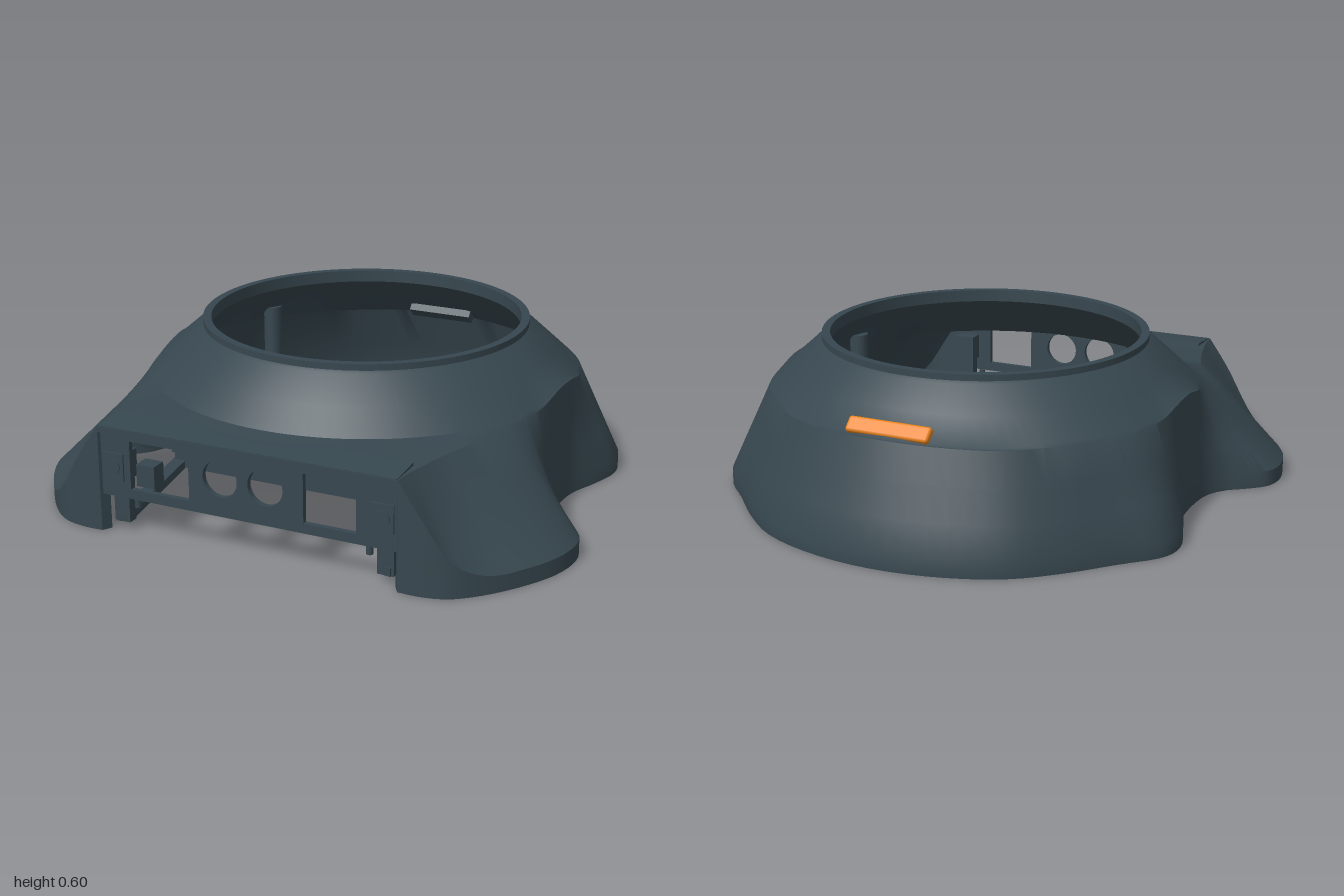
import * as THREE from 'three';
import { toCreasedNormals } from 'three/addons/utils/BufferGeometryUtils.js';
import { RoundedBoxGeometry } from 'three/addons/geometries/RoundedBoxGeometry.js';

const slate = new THREE.MeshStandardMaterial({ color: 0x37474f });
slate.name = 'slate plastic';
const orange = new THREE.MeshStandardMaterial({ color: 0xf58a1f });
orange.name = 'orange light';

const RING_Z = -0.02; // centre of the round opening

// One side of the base outline, front to back: x, lip height, z
const baseLine = [
  [0.56, 0.385, 0.93], [0.64, 0.27, 0.93], [0.74, 0.12, 0.9], [0.83, 0.065, 0.82], [0.92, 0.06, 0.7],
  [0.98, 0.06, 0.58], [1, 0.06, 0.46], [0.98, 0.06, 0.38], [0.92, 0.06, 0.32], [0.85, 0.06, 0.265],
  [0.805, 0.06, 0.19], [0.79, 0.06, 0.05], [0.8, 0.06, -0.08], [0.845, 0.06, -0.2], [0.88, 0.06, -0.33],
  [0.86, 0.06, -0.43], [0.74, 0.055, -0.56], [0.6, 0.05, -0.71], [0.45, 0.05, -0.83], [0.24, 0.05, -0.91],
  [0, 0.05, -0.94],
];
// Matching points of the shoulder line
const shoulderLine = [
  [0.56, 0.385, 0.925], [0.565, 0.385, 0.86], [0.58, 0.385, 0.79], [0.6, 0.385, 0.7], [0.63, 0.385, 0.6],
  [0.66, 0.385, 0.5], [0.69, 0.385, 0.41], [0.71, 0.39, 0.36], [0.735, 0.395, 0.29], [0.75, 0.4, 0.23],
  [0.765, 0.41, 0.16], [0.775, 0.435, 0.03], [0.775, 0.43, -0.1], [0.765, 0.41, -0.2], [0.735, 0.4, -0.32],
  [0.7, 0.4, -0.4], [0.64, 0.4, -0.49], [0.52, 0.4, -0.62], [0.39, 0.4, -0.72], [0.21, 0.405, -0.79],
  [0, 0.41, -0.82],
];

// Full curve from the left front corner round the back to the right one
function mirroredCurve(half) {
  const left = half.map((p) => new THREE.Vector3(...p));
  const right = left.slice(0, -1).reverse().map((p) => new THREE.Vector3(-p.x, p.y, p.z));
  return new THREE.CatmullRomCurve3([...left, ...right]);
}

// Closed wall section: up the outside, over the rim, down the inside
function wallSection(base, lip, shoulder) {
  const dx = shoulder.x, dz = shoulder.z - RING_Z;
  const reach = Math.hypot(dx, dz);
  const round = (r, y) => new THREE.Vector3(dx / reach * r, y, RING_Z + dz / reach * r);
  const inside = (p, drop) => new THREE.Vector3(p.x * 0.965, p.y - drop, p.z * 0.965);
  const kneeR = Math.min(0.79, reach - 0.01);
  const kneeY = Math.max(shoulder.y + 0.003, 0.57 - 0.92 * (kneeR - 0.61));
  const mid = (t) => lip.clone().lerp(shoulder, t);
  return [
    base, lip, mid(0.33), mid(0.66), shoulder,
    round(kneeR, kneeY), round((kneeR + 0.61) / 2, (kneeY + 0.57) / 2),
    round(0.61, 0.57), round(0.6, 0.577), round(0.6, 0.6),
    round(0.57, 0.6), round(0.57, 0.555), round(kneeR - 0.025, kneeY - 0.025),
    inside(shoulder, 0.025), inside(mid(0.5), 0.01), inside(lip, 0.01), inside(base, 0),
  ];
}

function shellGeometry() {
  const baseCurve = mirroredCurve(baseLine), shoulderCurve = mirroredCurve(shoulderLine);
  const sections = [];
  const N = 140;
  for (let i = 0; i <= N; i++) {
    const lip = baseCurve.getPoint(i / N);
    sections.push(wallSection(new THREE.Vector3(lip.x, 0, lip.z), lip, shoulderCurve.getPoint(i / N)));
  }
  // shallow edge above the front opening
  for (let i = 0; i <= 24; i++) {
    const x = -0.56 + 1.12 * i / 24;
    const at = (y, z) => new THREE.Vector3(x, y, z);
    sections.push(wallSection(at(0.365, 0.93), at(0.385, 0.93), at(0.385, 0.925)));
  }
  const rows = sections.length, cols = sections[0].length;
  const index = [];
  for (let i = 0; i < rows; i++) {
    for (let j = 0; j < cols; j++) {
      const i2 = (i + 1) % rows, j2 = (j + 1) % cols;
      const a = i * cols + j, b = i2 * cols + j, c = i2 * cols + j2, d = i * cols + j2;
      index.push(a, b, d, b, c, d);
    }
  }
  const g = new THREE.BufferGeometry().setFromPoints(sections.flat());
  g.setIndex(index);
  return toCreasedNormals(g, 0.5);
}

export function createModel() {
  const model = new THREE.Group();
  const add = (name, geometry, x = 0, y = 0, z = 0, material = slate) => {
    const mesh = new THREE.Mesh(geometry, material);
    mesh.name = name;
    mesh.position.set(x, y, z);
    model.add(mesh);
    return mesh;
  };
  const box = (name, w, h, d, x, y, z) => add(name, new THREE.BoxGeometry(w, h, d), x, y, z);

  add('shell', shellGeometry());

  // cover strip over the front panel
  box('frontCover', 1.11, 0.012, 0.13, 0, 0.387, 0.862).rotation.x = 0.08;

  // front panel with connector openings
  const rect = (P, x0, y0, x1, y1) => {
    const p = new P();
    p.moveTo(x0, y0).lineTo(x1, y0).lineTo(x1, y1).lineTo(x0, y1).closePath();
    return p;
  };
  const face = rect(THREE.Shape, -0.56, 0.135, 0.56, 0.38);
  face.holes.push(rect(THREE.Path, -0.44, 0.17, -0.21, 0.345), rect(THREE.Path, 0.22, 0.17, 0.41, 0.345));
  for (const x of [-0.09, 0.08]) {
    face.holes.push(new THREE.Path().absarc(x, 0.27, 0.065, 0, Math.PI * 2));
  }
  add('frontPanel', new THREE.ExtrudeGeometry(face, { depth: 0.02, bevelEnabled: false, curveSegments: 24 }), 0, 0, 0.9);
  box('connector', 0.07, 0.08, 0.06, -0.39, 0.22, 0.875);

  // lower support ring, cut off by the cross bar
  const R = 0.66, r = 0.62, barZ = 0.37;
  const a = Math.asin((barZ - RING_Z) / R), b = Math.asin((barZ - RING_Z) / r);
  const hoop = new THREE.Shape();
  hoop.absarc(0, 0, R, -a, Math.PI + a, false);
  hoop.absarc(0, 0, r, Math.PI + b, -b, true);
  hoop.closePath();
  add('supportRing', new THREE.ExtrudeGeometry(hoop, { depth: 0.03, bevelEnabled: false, curveSegments: 48 }),
    0, 0.03, RING_Z).rotation.x = -Math.PI / 2;
  box('crossBar', 1.2, 0.1, 0.025, 0, 0.083, barZ);

  for (const s of [1, -1]) {
    // panel screws
    box('screwPlate', 0.08, 0.1, 0.008, s * 0.505, 0.245, 0.922);
    add('screw', new THREE.CylinderGeometry(0.027, 0.027, 0.01, 20), s * 0.505, 0.245, 0.926).rotation.x = Math.PI / 2;
    box('panelBracket', 0.08, 0.1, 0.06, s * 0.505, 0.24, 0.87);
    add('peg', new THREE.CylinderGeometry(0.012, 0.012, 0.05, 12), s * 0.44, 0.115, 0.88);

    // arms joining cross bar and panel
    const arm = box('supportArm', 0.05, 0.03, 0.53, s * 0.54, 0.045, 0.63);
    arm.rotation.y = -s * 0.17;
    box('armFoot', 0.06, 0.16, 0.04, s * 0.5, 0.11, 0.87);

    // posts hanging from the shell to the ring
    for (const [x, z] of [[0.6, -0.4], [0.66, 0.2]]) {
      add('post', new THREE.CylinderGeometry(0.036, 0.036, 0.4, 24), s * x, 0.245, z);
      const foot = box('postFoot', 0.12, 0.035, 0.08, s * x * 0.98, 0.045, z);
      foot.rotation.y = Math.atan2(-(z - RING_Z), s * x);
    }
  }

  // light bar on the rear slope, with its holder inside
  const light = add('lightBar', new RoundedBoxGeometry(0.31, 0.035, 0.06, 3, 0.012), 0, 0.432, -0.774, orange);
  light.rotation.x = -0.74;
  box('lightHolder', 0.26, 0.03, 0.05, 0, 0.4, -0.735).rotation.x = -0.74;

  return model;
}
